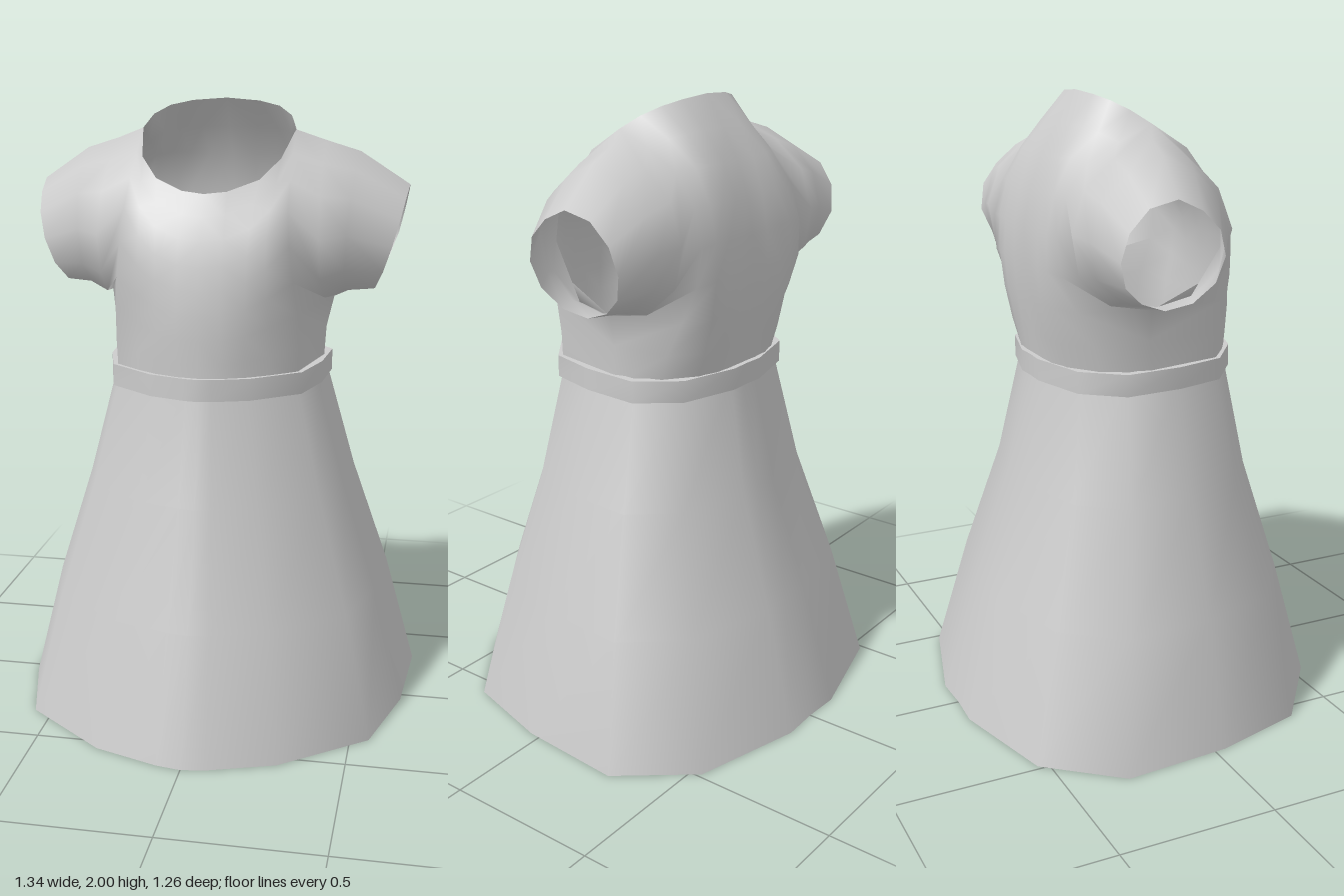
import * as THREE from 'three';
import { mergeVertices } from 'three/addons/utils/BufferGeometryUtils.js';

const material = new THREE.MeshStandardMaterial({ color: 0xcccccc, side: THREE.DoubleSide });

// Turns a list of triangle corners into one smooth, welded mesh
function smoothMesh(points, name) {
  const raw = new THREE.BufferGeometry().setFromPoints(points);
  const geometry = mergeVertices(raw, 1e-4);
  geometry.computeVertexNormals();
  const mesh = new THREE.Mesh(geometry, material);
  mesh.name = name;
  return mesh;
}

// Adds the two triangles of a cell, outward when right is u and up is v
function quad(out, a, b, c, d, flip) {
  if (flip) out.push(a, c, b, a, d, c);
  else out.push(a, b, c, a, c, d);
}

// Hem outline from front centre to back centre; the other half is mirrored
const hemHalf = [
  [0, 0.628], [0.08, 0.615], [0.29, 0.545], [0.56, 0.335], [0.645, 0.035],
  [0.67, -0.31], [0.485, -0.535], [0.125, -0.63], [0, -0.625],
];
const hem = [...hemHalf, ...hemHalf.slice(1, -1).reverse().map(([x, z]) => [-x, z])];

// Lofts the hem outline through levels of [y, x scale, z scale]
function loft(levels, name) {
  const rings = levels.map(([y, sx, sz]) => hem.map(([x, z]) => new THREE.Vector3(x * sx, y, z * sz)));
  const out = [];
  for (let k = 0; k < rings.length - 1; k++) {
    for (let i = 0; i < hem.length; i++) {
      const j = (i + 1) % hem.length;
      quad(out, rings[k][i], rings[k][j], rings[k + 1][j], rings[k + 1][i]);
    }
  }
  return smoothMesh(out, name);
}

// Evenly sampled smooth curve through a few points
function curve(points, segments) {
  return new THREE.CatmullRomCurve3(points.map((p) => new THREE.Vector3(...p))).getSpacedPoints(segments);
}

const LOW = 2; // rows below the armpit
const HIGH = 6; // rows above the armpit

// Sleeve and side strips: a lower seam, then an arc from underarm to shoulder
function armStrip(lower, arc) {
  const upper = curve([lower[lower.length - 1], ...arc], HIGH);
  const seam = lower.length > 1 ? lower.map((p) => new THREE.Vector3(...p)) : [upper[0], upper[0], upper[0]];
  return [...seam.slice(0, LOW), ...upper];
}

// Panel strips: one profile from waist to neckline
const panelStrip = (points) => curve(points, LOW + HIGH);

const openingUnder = [[0.5, 1.395, -0.115]];
const sleeveUnder = [[0.42, 1.39, -0.1]];
const sideSeam = [[0.345, 1.14, -0.08], [0.352, 1.27, -0.09], [0.375, 1.37, -0.095]];

// Strips run from the sleeve opening to the centre line
const front = [
  armStrip(openingUnder, [[0.505, 1.4, -0.05], [0.545, 1.49, 0.04], [0.578, 1.6, 0.037], [0.597, 1.685, -0.03], [0.608, 1.735, -0.13]]),
  armStrip(sleeveUnder, [[0.42, 1.42, 0.03], [0.425, 1.5, 0.115], [0.43, 1.62, 0.13], [0.44, 1.75, 0.06], [0.45, 1.84, -0.1]]),
  armStrip(sideSeam, [[0.355, 1.4, 0.07], [0.35, 1.51, 0.18], [0.35, 1.63, 0.185], [0.345, 1.77, 0.1], [0.34, 1.875, -0.08]]),
  panelStrip([[0.29, 1.14, 0.175], [0.295, 1.3, 0.18], [0.28, 1.45, 0.225], [0.26, 1.63, 0.225], [0.253, 1.77, 0.13], [0.248, 1.91, -0.035]]),
  panelStrip([[0.21, 1.14, 0.24], [0.21, 1.3, 0.25], [0.2, 1.48, 0.275], [0.2, 1.63, 0.25], [0.22, 1.83, 0.1]]),
  panelStrip([[0.14, 1.14, 0.285], [0.14, 1.35, 0.3], [0.145, 1.58, 0.275], [0.162, 1.77, 0.165]]),
  panelStrip([[0.07, 1.14, 0.315], [0.07, 1.38, 0.32], [0.07, 1.58, 0.287], [0.07, 1.737, 0.213]]),
  panelStrip([[0, 1.14, 0.325], [0, 1.4, 0.325], [0, 1.58, 0.29], [0, 1.73, 0.225]]),
];
const back = [
  armStrip(openingUnder, [[0.505, 1.41, -0.17], [0.54, 1.48, -0.26], [0.572, 1.57, -0.29], [0.6, 1.7, -0.24], [0.608, 1.735, -0.13]]),
  armStrip(sleeveUnder, [[0.42, 1.42, -0.23], [0.425, 1.5, -0.305], [0.43, 1.6, -0.325], [0.44, 1.75, -0.265], [0.45, 1.84, -0.1]]),
  armStrip(sideSeam, [[0.36, 1.4, -0.24], [0.35, 1.5, -0.33], [0.35, 1.62, -0.342], [0.345, 1.78, -0.27], [0.34, 1.875, -0.08]]),
  panelStrip([[0.295, 1.14, -0.22], [0.3, 1.3, -0.27], [0.28, 1.45, -0.34], [0.26, 1.63, -0.347], [0.255, 1.79, -0.265], [0.248, 1.91, -0.035]]),
  panelStrip([[0.2, 1.14, -0.29], [0.2, 1.3, -0.335], [0.2, 1.48, -0.362], [0.2, 1.65, -0.35], [0.2, 1.82, -0.275], [0.226, 1.95, -0.095]]),
  panelStrip([[0.13, 1.14, -0.315], [0.14, 1.45, -0.367], [0.14, 1.65, -0.353], [0.15, 1.83, -0.285], [0.18, 1.977, -0.14]]),
  panelStrip([[0.065, 1.14, -0.32], [0.07, 1.45, -0.362], [0.07, 1.65, -0.35], [0.08, 1.83, -0.285], [0.11, 1.992, -0.165]]),
  panelStrip([[0, 1.14, -0.32], [0, 1.45, -0.355], [0, 1.65, -0.345], [0, 1.82, -0.285], [0, 2, -0.175]]),
];

// Bodice with sleeves: front and back panels, mirrored left to right
function makeBodice() {
  const out = [];
  for (const side of [1, -1]) {
    for (const strips of [front, back]) {
      const grid = strips.map((s) => s.map((p) => new THREE.Vector3(p.x * side, p.y, p.z)));
      const flip = (strips === front) === (side === 1);
      for (let s = 0; s < grid.length - 1; s++) {
        // Sleeves start at the underarm, panels at the waist
        for (let t = s < 2 ? LOW : 0; t < LOW + HIGH; t++) {
          quad(out, grid[s][t], grid[s + 1][t], grid[s + 1][t + 1], grid[s][t + 1], flip);
        }
      }
    }
  }
  return smoothMesh(out, 'bodice');
}

export function createModel() {
  const group = new THREE.Group();
  group.name = 'dress';

  // Flared skirt
  group.add(loft([[0, 1, 1], [0.4, 0.845, 0.82], [0.77, 0.665, 0.63], [1.14, 0.515, 0.515]], 'skirt'));

  // Waist belt: outer band with a lip above and below
  const belt = new THREE.Group();
  belt.name = 'belt';
  belt.add(
    loft([[1.105, 0.545, 0.545], [1.175, 0.545, 0.545]], 'beltBand'),
    loft([[1.175, 0.545, 0.545], [1.175, 0.505, 0.505]], 'beltTopEdge'),
    loft([[1.105, 0.505, 0.505], [1.105, 0.545, 0.545]], 'beltBottomEdge'),
  );
  group.add(belt);

  group.add(makeBodice());
  return group;
}
